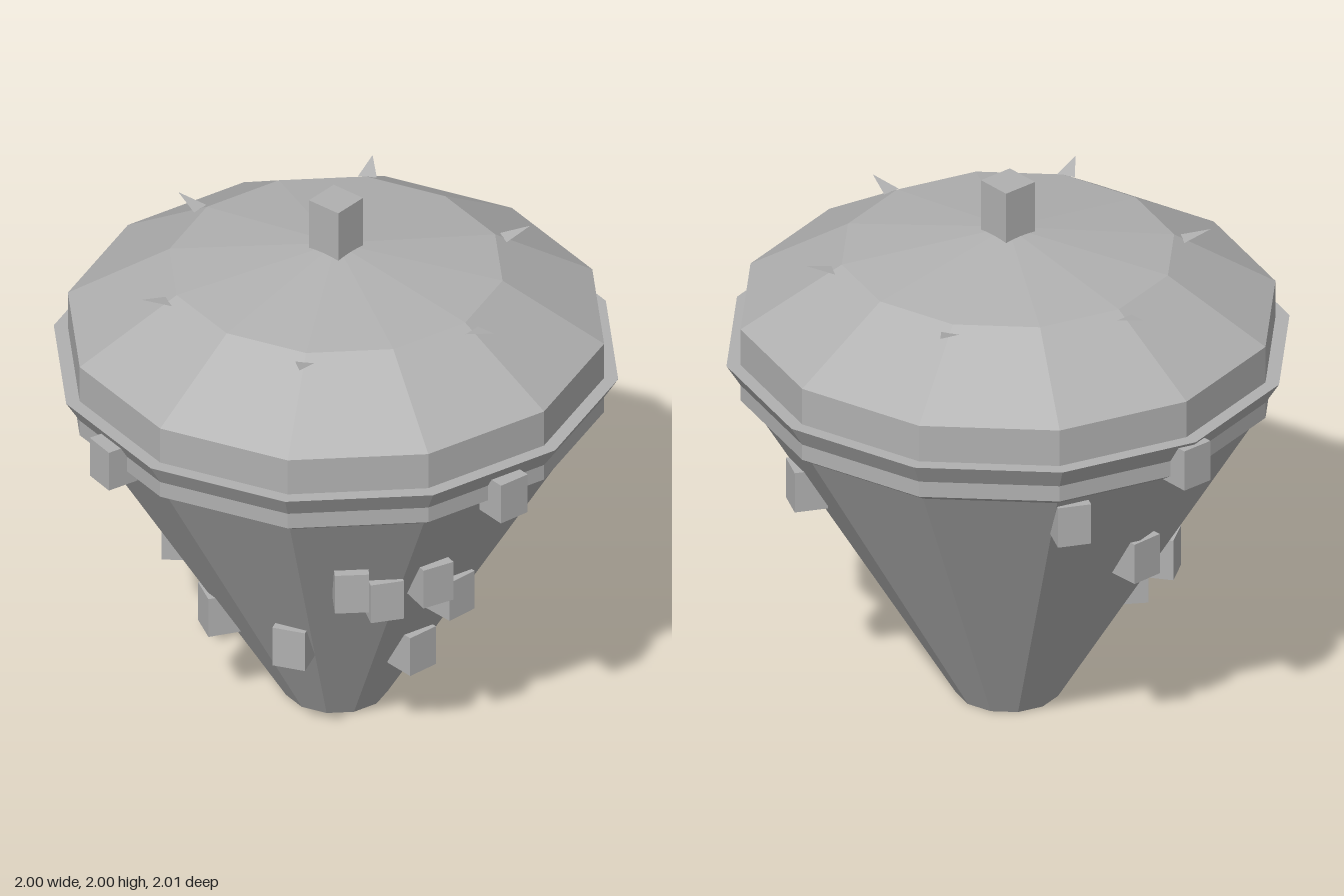
import * as THREE from 'three';

const SIDES = 12;

export function createModel() {
  const model = new THREE.Group();
  model.name = 'spinningTop';
  const grey = new THREE.MeshStandardMaterial({ color: 0xb0b0b0, flatShading: true });
  grey.name = 'grey';
  const greyThin = new THREE.MeshStandardMaterial({ color: 0xb0b0b0, flatShading: true, side: THREE.DoubleSide });
  greyThin.name = 'grey two-sided';

  function add(name, geometry, material = grey, parent = model) {
    const mesh = new THREE.Mesh(geometry, material);
    mesh.name = name;
    parent.add(mesh);
    return mesh;
  }

  // Twelve-sided turned part from [radius, y] points, bottom to top
  const turned = (profile) =>
    new THREE.LatheGeometry(profile.map(([r, y]) => new THREE.Vector2(r, y)), SIDES);

  // Body, flared rim and faceted lid
  add('coneBody', turned([[0, 0], [0.185, 0], [0.905, 1.2], [0.95, 1.23]]));
  add('rim', turned([[0.95, 1.23], [0.95, 1.29], [1, 1.37], [0.95, 1.37]]));
  add('lid', turned([[0.95, 1.37], [0.95, 1.51], [0.59, 1.73], [0, 1.82]]));

  // Square handle on the lid
  add('handle', new THREE.BoxGeometry(0.134, 0.2, 0.134)).position.y = 1.9;

  // Six flat spikes around the lid
  const spike = new THREE.BufferGeometry();
  spike.setAttribute('position', new THREE.Float32BufferAttribute(
    [-0.033, 1.71, 0.62, 0, 1.738, 0.72, 0.033, 1.71, 0.62], 3));
  spike.computeVertexNormals();
  const spikes = new THREE.Group();
  spikes.name = 'lidSpikes';
  model.add(spikes);
  for (let i = 0; i < 6; i++) {
    add('lidSpike', spike, greyThin, spikes).rotation.y = (i * Math.PI) / 3;
  }

  // Blocks half sunk into the cone: [angle from the front in degrees, height]
  const block = new THREE.BoxGeometry(0.12, 0.155, 0.12);
  const blocks = new THREE.Group();
  blocks.name = 'coneBlocks';
  model.add(blocks);
  const places = [
    [-10.8, 1.247], [-45.5, 0.84], [-35, 0.767], [-20.3, 0.807], [-6, 0.655], [-8, 0.353],
    [64, 0.907], [154, 1.1], [180, 1.28], [-178, 0.785], [-144, 0.605], [-122, 0.405],
    [-106, 1.255], [-68.5, 0.453],
  ];
  for (const [degrees, y] of places) {
    const angle = THREE.MathUtils.degToRad(degrees);
    const r = 0.185 + 0.596 * y;
    const mesh = add('coneBlock', block, grey, blocks);
    mesh.position.set(r * Math.sin(angle), y, r * Math.cos(angle));
    mesh.rotation.y = angle;
  }
  return model;
}
